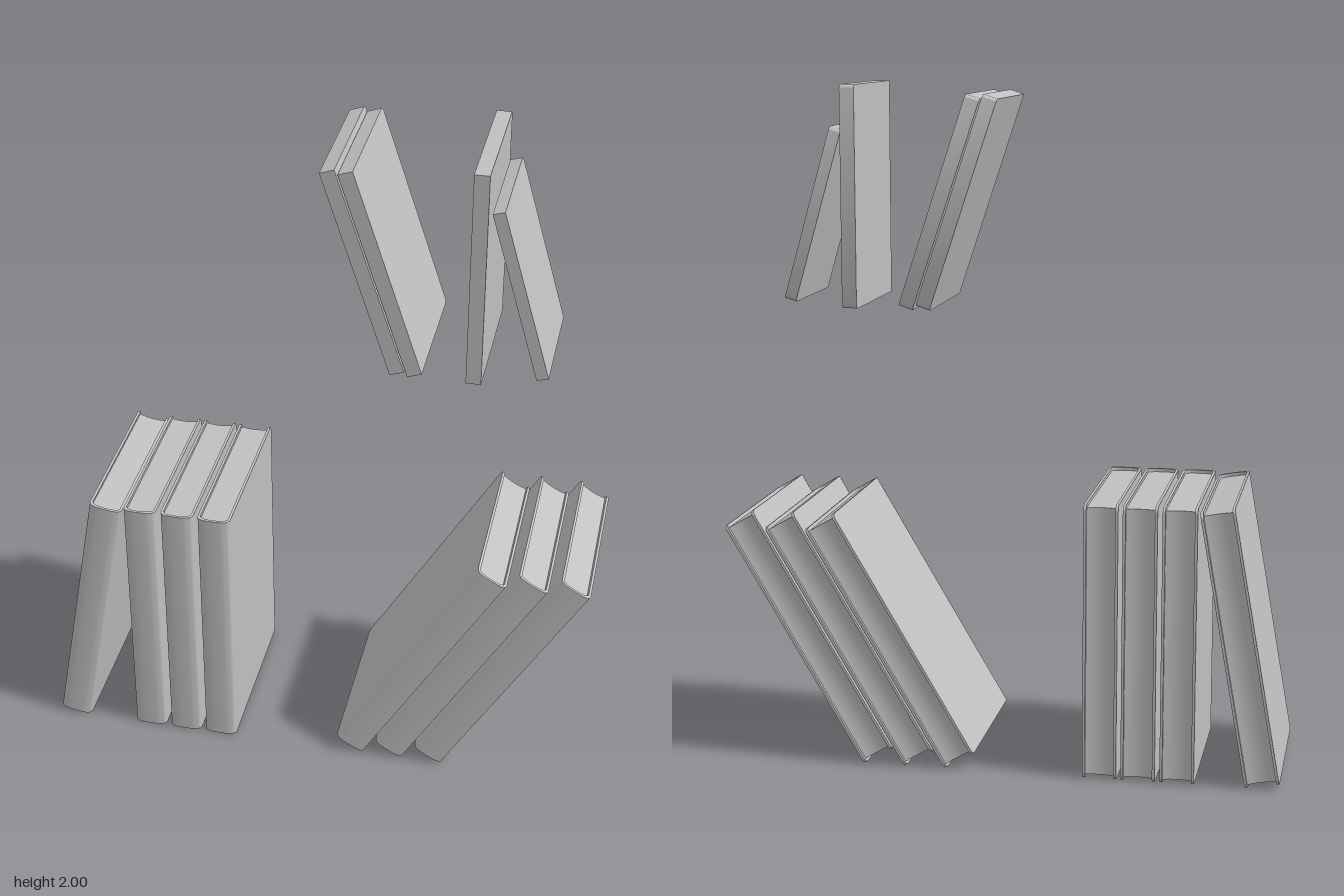
import * as THREE from 'three';
import { toCreasedNormals } from 'three/addons/utils/BufferGeometryUtils.js';

const bookGrey = new THREE.MeshStandardMaterial({ color: 0xc0c0c0 });
bookGrey.name = 'bookGrey';

function mesh(name, geometry) {
  const m = new THREE.Mesh(geometry, bookGrey);
  m.name = name;
  return m;
}

// Upright board, thick along x, with its two back (-z) corners rounded
function board(thickness, height, zBack, zFront, radius) {
  const h = height / 2, a = -zFront, b = -zBack; // shape x is -z
  const s = new THREE.Shape();
  s.moveTo(a, -h);
  s.lineTo(b - radius, -h);
  s.absarc(b - radius, -h + radius, radius, -Math.PI / 2, 0, false);
  s.lineTo(b, h - radius);
  s.absarc(b - radius, h - radius, radius, 0, Math.PI / 2, false);
  s.lineTo(a, h);
  const g = new THREE.ExtrudeGeometry(s, { depth: thickness, bevelEnabled: false, curveSegments: 5 });
  g.translate(0, 0, -thickness / 2);
  g.rotateY(Math.PI / 2);
  return toCreasedNormals(g, 0.6);
}

// Plan outline (x, z) raised to a height centred on y = 0
function column(shape, height) {
  const g = new THREE.ExtrudeGeometry(shape, { depth: height, bevelEnabled: false, curveSegments: 8 });
  g.translate(0, 0, -height / 2);
  g.rotateX(-Math.PI / 2); // shape y becomes -z
  return toCreasedNormals(g, 0.6);
}

// Hardback: two boards, rounded spine at the front, recessed page block
function hardback(name) {
  const T = 0.1, H = 0.82, D = 0.54, t = 0.008, joint = 0.245;
  const book = new THREE.Group();
  book.name = name;
  for (const side of [-1, 1]) {
    const cover = mesh(side < 0 ? 'rightCover' : 'leftCover', board(t, H, -D / 2, joint, 0.018));
    cover.position.x = side * (T - t) / 2;
    book.add(cover);
  }

  const w = T / 2, f = D / 2;
  const spine = new THREE.Shape();
  spine.moveTo(-w, -joint);
  spine.bezierCurveTo(-w, -f + 0.004, -w + 0.012, -f, 0, -f);
  spine.bezierCurveTo(w - 0.012, -f, w, -f + 0.004, w, -joint);
  spine.lineTo(w - t, -joint);
  spine.quadraticCurveTo(w - t, -f + t, 0, -f + t);
  spine.quadraticCurveTo(-w + t, -f + t, -w + t, -joint);
  book.add(mesh('spine', column(spine, H)));

  // Page block with a slightly hollow fore edge
  const p = w - t;
  const pages = new THREE.Shape();
  pages.moveTo(-p, -joint);
  pages.quadraticCurveTo(-p, -f + t, 0, -f + t);
  pages.quadraticCurveTo(p, -f + t, p, -joint);
  pages.lineTo(p, f - 0.01);
  pages.quadraticCurveTo(0, f - 0.024, -p, f - 0.01);
  book.add(mesh('pages', column(pages, H - 0.02)));
  return book;
}

export function createModel() {
  const model = new THREE.Group();
  model.name = 'books';

  // Lower books: centre x, centre y, lean in degrees
  const lower = [
    [-0.703, 0.415, -10],
    [-0.527, 0.413, 0],
    [-0.413, 0.413, 0],
    [-0.3, 0.413, 0],
    [0.325, 0.383, -30.5],
    [0.447, 0.383, -30.5],
    [0.57, 0.383, -30.5],
  ];
  lower.forEach(([x, y, lean], i) => {
    const book = hardback('hardback' + (i + 1));
    book.position.set(x, y, 0);
    book.rotation.z = THREE.MathUtils.degToRad(lean);
    model.add(book);
  });

  // Upper books: centre x, centre y, lean, thickness, height, back z, front z
  const upper = [
    [0.131, 1.667, 18.3, 0.043, 0.635, -0.213, 0.205],
    [0.181, 1.667, 18.3, 0.043, 0.635, -0.213, 0.205],
    [0.446, 1.68, 0, 0.043, 0.64, -0.213, 0.205],
    [0.562, 1.626, 16, 0.035, 0.52, -0.178, 0.17],
  ];
  upper.forEach(([x, y, lean, t, h, zb, zf], i) => {
    const book = mesh('thinBook' + (i + 1), board(t, h, zb, zf, 0.015));
    book.position.set(x, y, 0);
    book.rotation.z = THREE.MathUtils.degToRad(lean);
    model.add(book);
  });

  return model;
}
